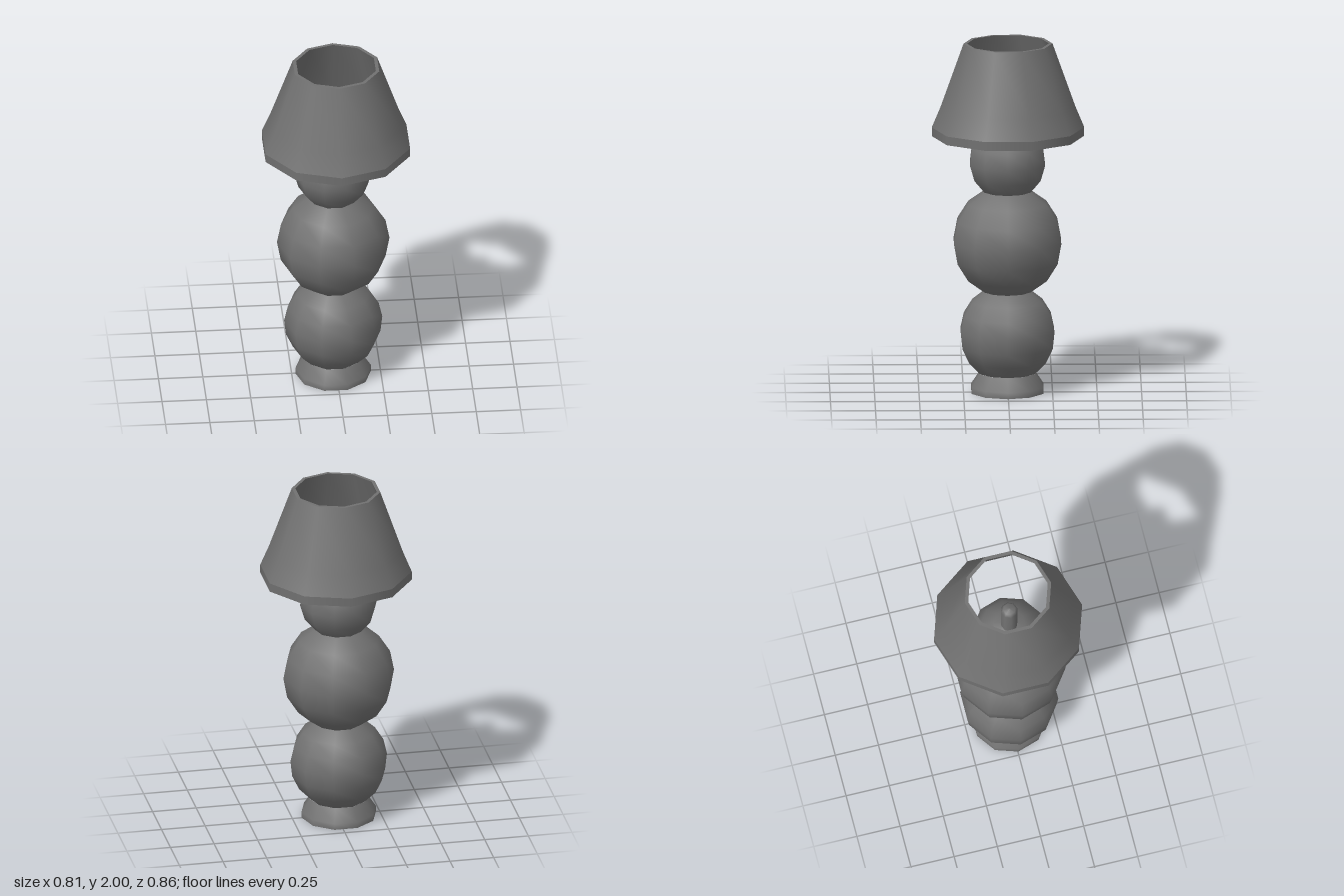
import * as THREE from 'three';

const material = new THREE.MeshStandardMaterial({ color: 0x717171 });

// Turned surface through [radius, height] points; upward profiles face outward
function turned(name, points, sides, phiStart = 0) {
  const profile = points.map(([r, y]) => new THREE.Vector2(r, y));
  const mesh = new THREE.Mesh(new THREE.LatheGeometry(profile, sides, phiStart), material);
  mesh.name = name;
  return mesh;
}

// Each profile is turned separately so the edges between them stay sharp
function turnedGroup(name, profiles, sides, phiStart) {
  const group = new THREE.Group();
  group.name = name;
  profiles.forEach((p, i) => group.add(turned(`${name}Surface${i + 1}`, p, sides, phiStart)));
  return group;
}

// Profile of a ball cut off at heights y0 and y1
function ballProfile(radius, cy, y0, y1, steps = 6) {
  const a0 = Math.asin(Math.max(-1, (y0 - cy) / radius));
  const a1 = Math.asin(Math.min(1, (y1 - cy) / radius));
  return Array.from({ length: steps + 1 }, (_, i) => {
    const a = a0 + (a1 - a0) * i / steps;
    return [Math.max(0, radius * Math.cos(a)), cy + radius * Math.sin(a)];
  });
}

export function createModel() {
  const lamp = new THREE.Group();
  lamp.name = 'tableLamp';

  // Stand: foot, three stacked balls and stem, slightly off the shade's axis
  const stand = new THREE.Group();
  stand.name = 'stand';
  stand.position.set(-0.016, 0, 0.003);
  const turn = Math.PI / 2;

  stand.add(turnedGroup('foot', [
    [[0, 0], [0.213, 0]],
    [[0.213, 0], [0.213, 0.035], [0.163, 0.11]],
  ], 10, turn));

  const balls = [
    ['lowerBall', 0.277, 0.335, 0.11, 0.577],
    ['middleBall', 0.317, 0.863, 0.577, 1.15],
    ['upperBall', 0.222, 1.325, 1.15, 1.547],
  ];
  for (const [name, r, cy, y0, y1] of balls) {
    stand.add(turned(name, ballProfile(r, cy, y0, y1), 10, turn));
  }

  stand.add(turned('stem',
    [[0.048, 1.52], [0.048, 1.75], [0.034, 1.77], [0, 1.78]], 8, turn));
  lamp.add(stand);

  // Shade: ten-sided open shell; the inner wall ends on a ledge above a thin lower band
  lamp.add(turnedGroup('shade', [
    [[0.428, 1.47], [0.428, 1.52]],
    [[0.428, 1.52], [0.378, 1.64], [0.25, 2]],
    [[0.25, 2], [0.23, 2]],
    [[0.23, 2], [0.358, 1.64], [0.4, 1.52]],
    [[0.4, 1.52], [0.426, 1.52]],
    [[0.426, 1.52], [0.426, 1.47]],
    [[0.426, 1.47], [0.428, 1.47]],
  ], 10));

  return lamp;
}
